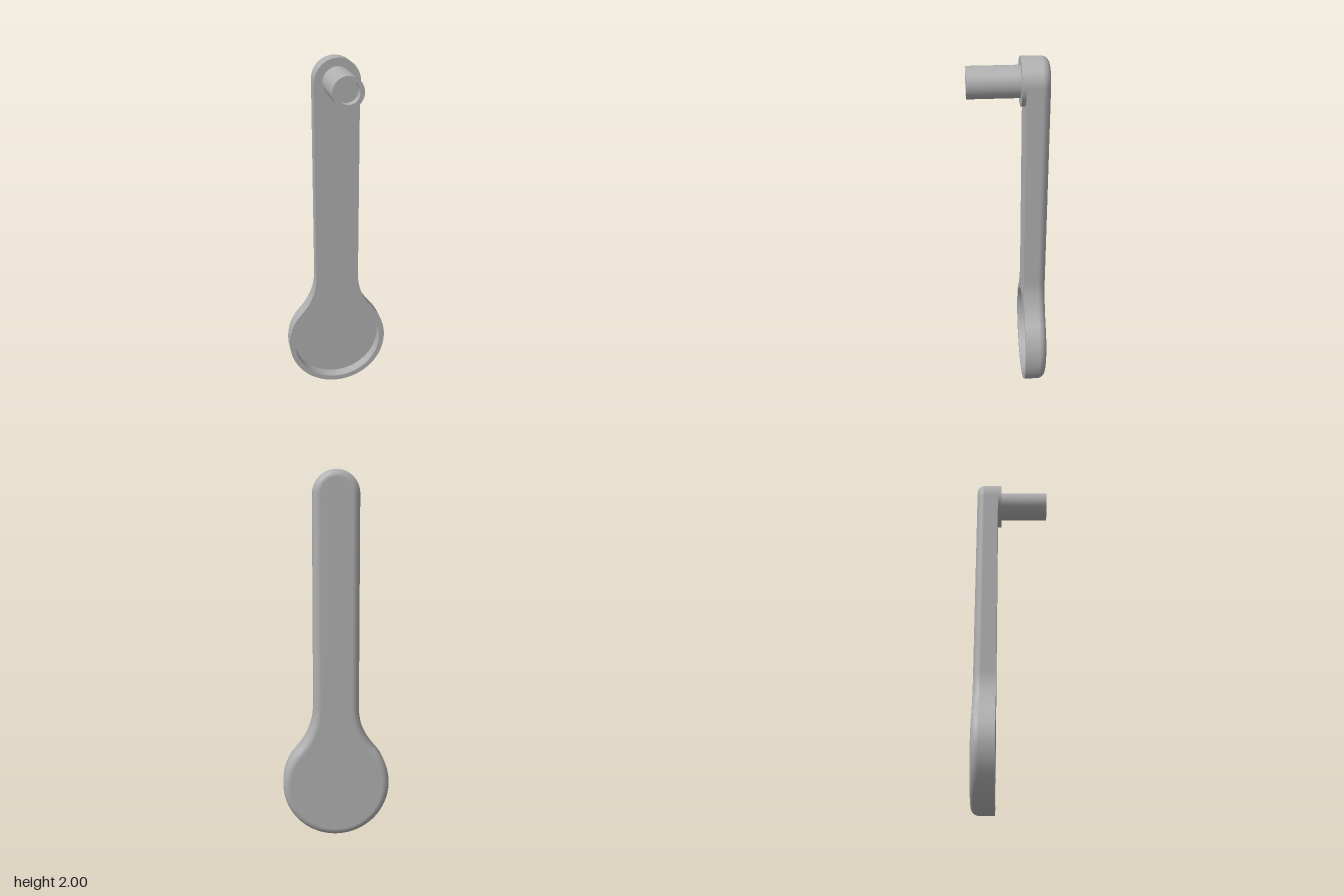
import * as THREE from 'three';

const BACK = -0.21, FACE = -0.086, BOSS = -0.064, TIP = 0.21;
const TOP_Y = 1.875, DISC_Y = 0.295, ARM_R = 0.125, DISC_R = 0.295;
const NECK_R = 0.35, EDGE = 0.042;

// Outline of tangent arcs, counterclockwise: [x, y, normalX, normalY]
function outline(inset) {
  const dx = ARM_R + NECK_R;
  const dy = Math.sqrt((DISC_R + NECK_R) ** 2 - dx * dx);
  const a = Math.atan2(dy, dx), PI = Math.PI;
  const arcs = [
    [0, TOP_Y, ARM_R, 0, PI, 1, 40],
    [-dx, DISC_Y + dy, NECK_R, 0, -a, -1, 16],
    [0, DISC_Y, DISC_R, PI - a, 2 * PI + a, 1, 72],
    [dx, DISC_Y + dy, NECK_R, PI + a, PI, -1, 16],
  ];
  const pts = [];
  for (const [cx, cy, r, from, to, s, n] of arcs) {
    for (let i = 0; i <= n; i++) {
      const t = from + (to - from) * i / n, c = Math.cos(t), k = Math.sin(t);
      pts.push([cx + c * (r - s * inset), cy + k * (r - s * inset), s * c, s * k]);
    }
  }
  return pts;
}

// Side wall with a rounded back edge
function wallGeometry() {
  const rings = [[0, FACE, 0]];
  for (let i = 0; i <= 8; i++) {
    const t = i / 8 * Math.PI / 2;
    rings.push([EDGE * (1 - Math.cos(t)), BACK + EDGE * (1 - Math.sin(t)), t]);
  }
  const pos = [], nor = [], idx = [];
  let n = 0;
  rings.forEach(([inset, z, t], r) => {
    const pts = outline(inset);
    n = pts.length;
    pts.forEach(([x, y, nx, ny], j) => {
      pos.push(x, y, z);
      nor.push(nx * Math.cos(t), ny * Math.cos(t), -Math.sin(t));
      if (r === 0) return;
      const k = (j + 1) % n, p = (r - 1) * n, q = r * n;
      idx.push(p + j, q + j, p + k, p + k, q + j, q + k);
    });
  });
  const g = new THREE.BufferGeometry();
  g.setAttribute('position', new THREE.Float32BufferAttribute(pos, 3));
  g.setAttribute('normal', new THREE.Float32BufferAttribute(nor, 3));
  g.setIndex(idx);
  return g;
}

function outlineShape(inset) {
  return new THREE.Shape(outline(inset).map(([x, y]) => new THREE.Vector2(x, y)));
}

export function createModel() {
  const model = new THREE.Group();
  const grey = new THREE.MeshStandardMaterial({ color: 0xb0b0b0, side: THREE.DoubleSide });
  grey.name = 'grey';

  const add = (name, geometry, y = 0, z = 0) => {
    const mesh = new THREE.Mesh(geometry, grey);
    mesh.name = name;
    mesh.position.set(0, y, z);
    model.add(mesh);
  };
  // Open tube along z
  const tube = (name, r, y, z0, z1) => add(name,
    new THREE.CylinderGeometry(r, r, z1 - z0, 72, 1, true).rotateX(Math.PI / 2), y, (z0 + z1) / 2);

  // Handle body
  add('handleWall', wallGeometry());
  add('handleBack', new THREE.ShapeGeometry(outlineShape(EDGE)).rotateY(Math.PI)
    .translate(0, 0, BACK));
  const front = outlineShape(0);
  const recessR = 0.265, recessZ = -0.152;
  front.holes.push(new THREE.Path().absarc(0, DISC_Y, recessR, 0, Math.PI * 2, true));
  add('handleFront', new THREE.ShapeGeometry(front, 72), 0, FACE);

  // Shallow round recess in the disc
  tube('recessWall', recessR, DISC_Y, recessZ, FACE);
  add('recessFloor', new THREE.CircleGeometry(recessR, 72), DISC_Y, recessZ);

  // Raised boss at the top of the arm
  const pegR = 0.082, boreR = 0.06, boreZ = TIP - 0.05;
  tube('bossWall', ARM_R, TOP_Y, FACE, BOSS);
  add('bossFace', new THREE.RingGeometry(pegR, ARM_R, 72), TOP_Y, BOSS);

  // Peg with a blind bore
  tube('pegWall', pegR, TOP_Y, BOSS, TIP);
  add('pegRim', new THREE.RingGeometry(boreR, pegR, 72), TOP_Y, TIP);
  tube('boreWall', boreR, TOP_Y, boreZ, TIP);
  add('boreFloor', new THREE.CircleGeometry(boreR, 72), TOP_Y, boreZ);

  return model;
}
